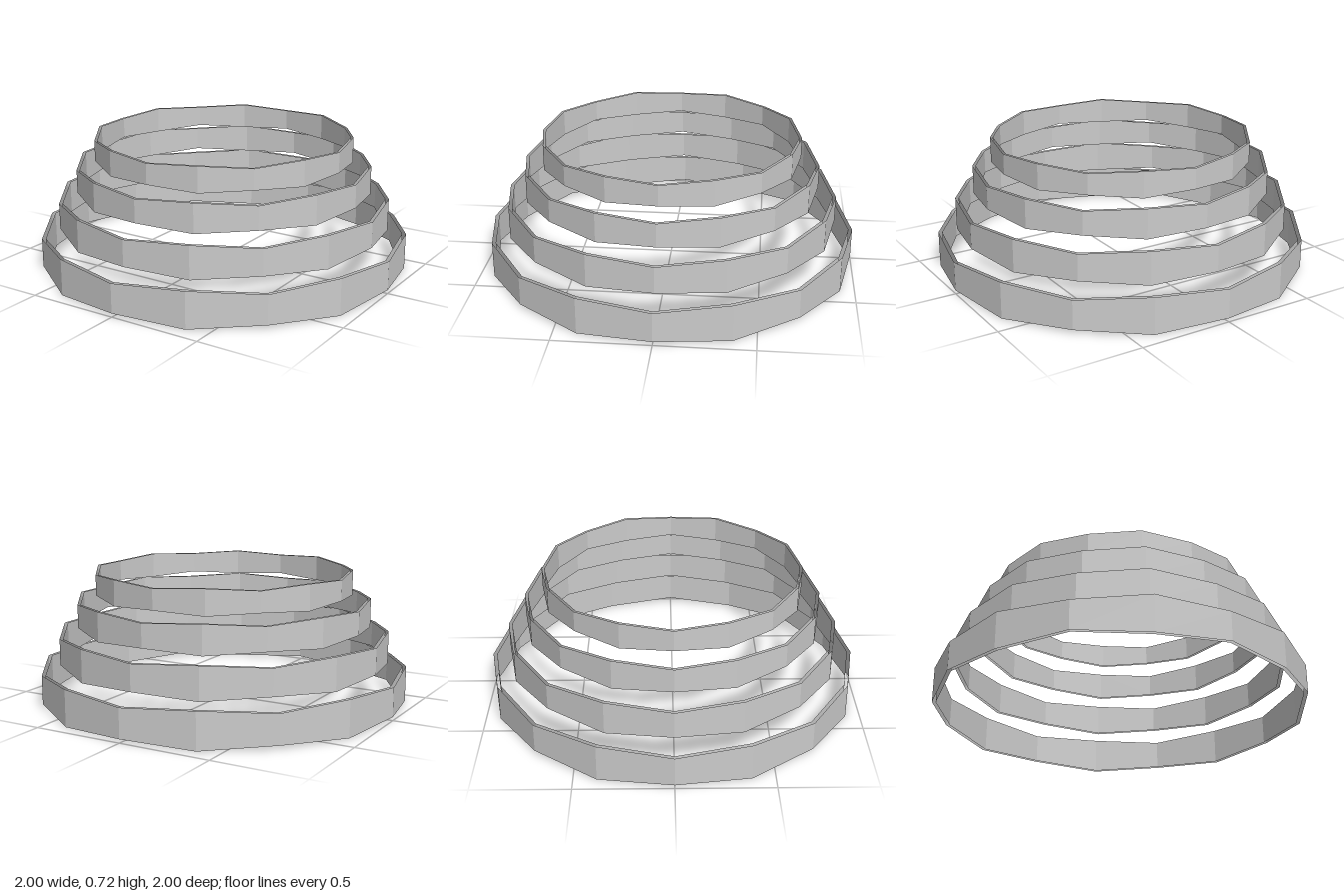
import * as THREE from 'three';

const SIDES = 16;

// Open upright band whose height alternates from corner to corner
function wavyBand(radius, height) {
  const geo = new THREE.CylinderGeometry(radius, radius, height, SIDES, 1, true);
  const pos = geo.attributes.position;
  for (let i = 0; i < pos.count; i++) {
    const corner = i % (SIDES + 1);
    if (corner % 2 === 0) pos.setY(i, pos.getY(i) * 0.8);
  }
  geo.computeVertexNormals();
  return geo;
}

export function createModel() {
  const model = new THREE.Group();
  model.name = 'tieredRings';
  const material = new THREE.MeshStandardMaterial({
    color: 0xcccccc, flatShading: true, side: THREE.DoubleSide,
  });

  // Four shrinking tiers: [radius, centre height]
  const tiers = [[1, 0.098], [0.9, 0.299], [0.8, 0.487], [0.7, 0.65]];
  tiers.forEach(([radius, y], i) => {
    const ring = new THREE.Group();
    ring.name = `ring${i + 1}`;
    ring.position.y = y;
    // Each ring is a pair of thin walls, open at top and bottom
    for (const [name, scale] of [['outerWall', 1], ['innerWall', 0.98]]) {
      const wall = new THREE.Mesh(wavyBand(radius * scale, 0.196 * radius), material);
      wall.name = name;
      ring.add(wall);
    }
    model.add(ring);
  });
  return model;
}
